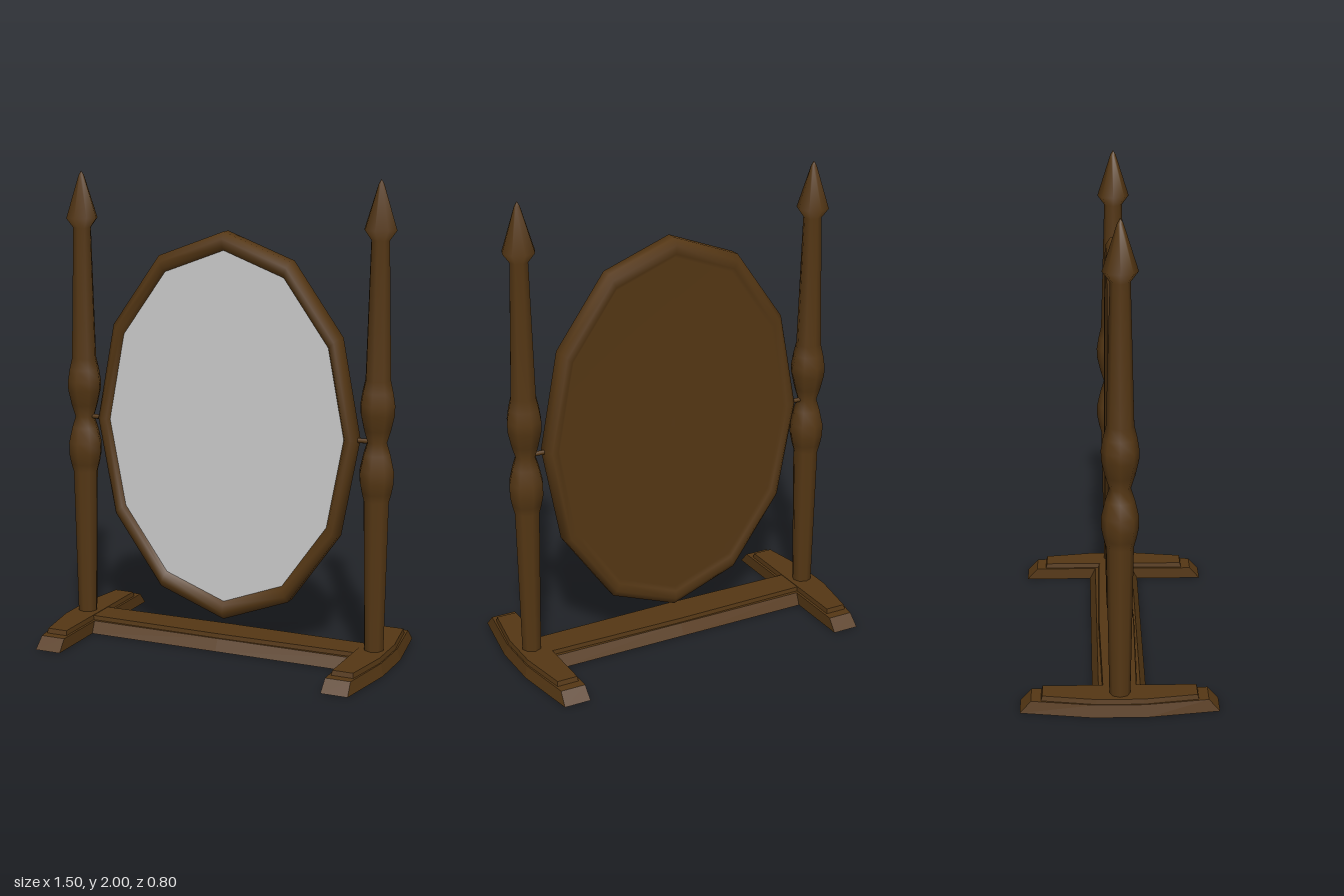
import * as THREE from 'three';

const wood = new THREE.MeshStandardMaterial({ color: 0x553714 });
const glass = new THREE.MeshStandardMaterial({ color: 0xcccccc });

function add(parent, name, geometry, material = wood) {
  const mesh = new THREE.Mesh(geometry, material);
  mesh.name = name;
  parent.add(mesh);
  return mesh;
}

// Flat-shaded solid between two plan outlines of [x, z] corners
function tier(lower, upper, y0, y1) {
  const pos = [];
  const n = lower.length;
  const lo = lower.map(([x, z]) => [x, y0, z]);
  const up = upper.map(([x, z]) => [x, y1, z]);
  const tri = (a, b, c) => pos.push(...a, ...b, ...c);
  for (let i = 0; i < n; i++) {
    const j = (i + 1) % n;
    tri(lo[i], up[i], lo[j]);
    tri(up[i], up[j], lo[j]);
    if (i > 0 && i < n - 1) {
      tri(up[0], up[j], up[i]);
      tri(lo[0], lo[i], lo[j]);
    }
  }
  const g = new THREE.BufferGeometry();
  g.setAttribute('position', new THREE.Float32BufferAttribute(pos, 3));
  g.computeVertexNormals();
  return g;
}

// Foot plan: straight inner edge, outer edge tapering to both ends
const footPlan = (inner, end, outer, len, mid) => [
  [inner, -len], [end, -len], [outer, -mid], [outer, mid], [end, len], [inner, len],
];

// Rail plan, very slightly pointed at the middle
const railPlan = (half, point) => [
  [-0.61, -half], [0, -half - point], [0.61, -half],
  [0.61, half], [0, half + point], [-0.61, half],
];

const profile = (pts) => pts.map(([r, y]) => new THREE.Vector2(r, y));

const postProfile = profile([
  [0.042, 0.06], [0.054, 0.7], [0.064, 0.735], [0.073, 0.78], [0.073, 0.83],
  [0.058, 0.895], [0.042, 0.945], [0.058, 0.995], [0.073, 1.06], [0.074, 1.1],
  [0.066, 1.15], [0.054, 1.2], [0.039, 1.76], [0.069, 1.8], [0.012, 1.98], [0, 2],
]);

// Back panel running outwards into the rounded frame, and round to the glass
const frameProfile = profile([
  [0, -0.03], [0.9, -0.03], [0.92, -0.041], [0.965, -0.043], [1, -0.025],
  [1, 0.025], [0.965, 0.043], [0.925, 0.04], [0.905, 0.022],
]);

export function createModel() {
  const model = new THREE.Group();
  model.name = 'tiltingMirror';

  // Rail joining the feet
  const rail = new THREE.Group();
  rail.name = 'rail';
  add(rail, 'railBody', tier(railPlan(0.11, 0), railPlan(0.085, 0), 0, 0.05));
  add(rail, 'railTop', tier(railPlan(0.07, 0.008), railPlan(0.067, 0.008), 0.05, 0.068));
  model.add(rail);

  // Each side: foot, turned post and pivot pin
  for (const [name, angle] of [['leftStand', 0], ['rightStand', Math.PI]]) {
    const stand = new THREE.Group();
    stand.name = name;
    add(stand, 'footBody', tier(
      footPlan(0.59, 0.705, 0.75, 0.4, 0.11),
      footPlan(0.592, 0.7, 0.738, 0.355, 0.1), 0, 0.05));
    add(stand, 'footTop', tier(
      footPlan(0.603, 0.697, 0.733, 0.315, 0.095),
      footPlan(0.606, 0.694, 0.729, 0.31, 0.093), 0.05, 0.07));
    add(stand, 'post', new THREE.LatheGeometry(postProfile, 8)).position.x = 0.67;
    const pin = add(stand, 'pivotPin', new THREE.CylinderGeometry(0.01, 0.01, 0.09, 8));
    pin.rotation.z = Math.PI / 2;
    pin.position.set(0.61, 0.945, 0);
    stand.rotation.y = angle;
    model.add(stand);
  }

  // Twelve-sided oval mirror
  const mirror = new THREE.Group();
  mirror.name = 'mirror';
  add(mirror, 'frameAndBack', new THREE.LatheGeometry(frameProfile, 12).rotateX(Math.PI / 2));
  add(mirror, 'glass', new THREE.CircleGeometry(0.91, 12), glass).position.z = 0.023;
  mirror.scale.set(0.59, 0.825, 1);
  mirror.position.y = 0.945;
  model.add(mirror);

  return model;
}
